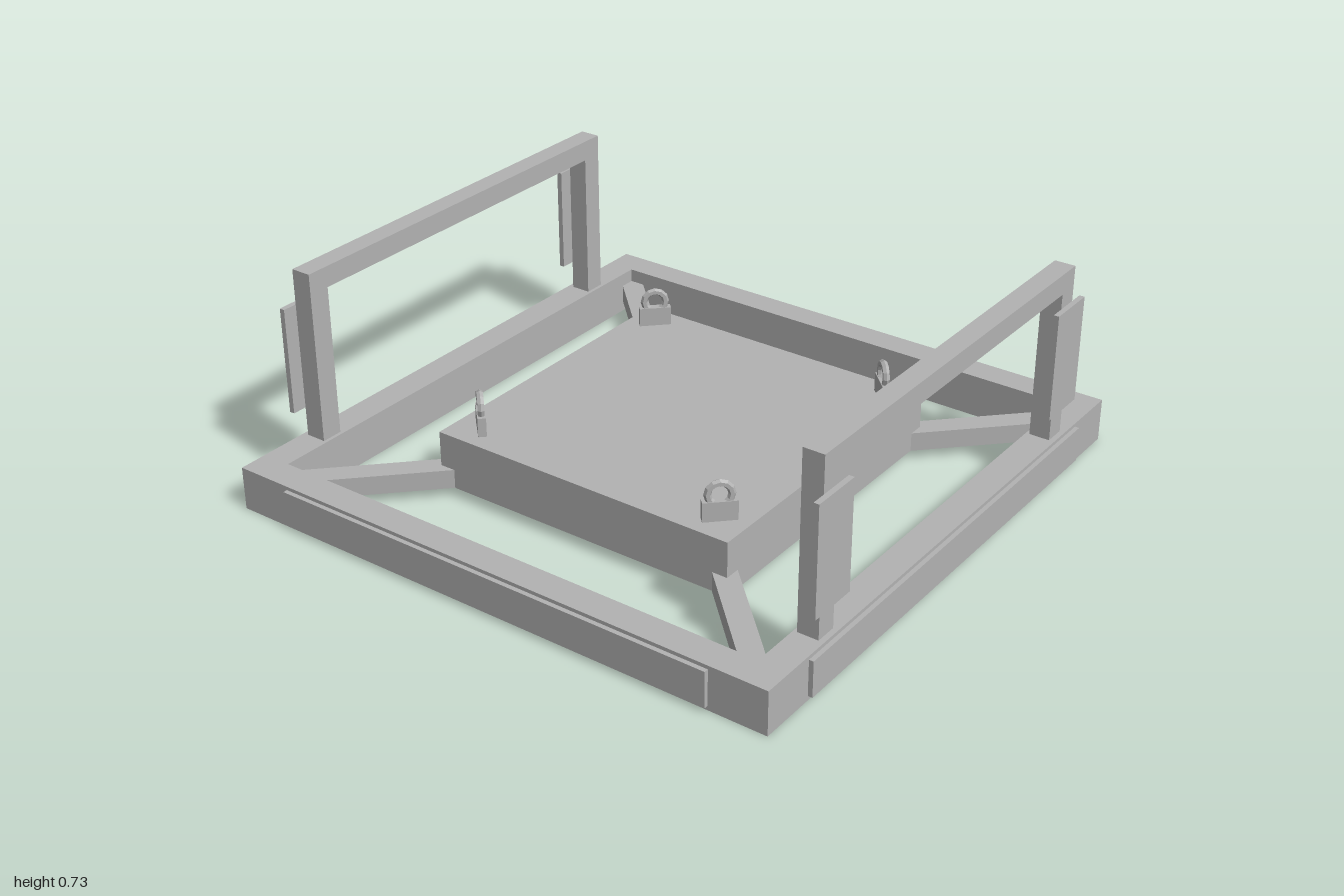
import * as THREE from 'three';

export function createModel() {
  const model = new THREE.Group();
  model.name = 'equipmentFrame';
  const grey = new THREE.MeshStandardMaterial({ color: 0xb2b2b2, flatShading: true });
  grey.name = 'grey';

  // box given by its lower and upper corners
  function box(name, x0, x1, y0, y1, z0, z1, parent = model) {
    const mesh = new THREE.Mesh(new THREE.BoxGeometry(x1 - x0, y1 - y0, z1 - z0), grey);
    mesh.position.set((x0 + x1) / 2, (y0 + y1) / 2, (z0 + z1) / 2);
    mesh.name = name;
    parent.add(mesh);
    return mesh;
  }

  // square base frame, one piece with an open middle
  const O = 0.985, I = 0.885;
  const outline = new THREE.Shape([[-O, -O], [O, -O], [O, O], [-O, O]].map(p => new THREE.Vector2(...p)));
  outline.holes.push(new THREE.Path([[-I, -I], [-I, I], [I, I], [I, -I]].map(p => new THREE.Vector2(...p))));
  const frameGeo = new THREE.ExtrudeGeometry(outline, { depth: 0.147, bevelEnabled: false });
  frameGeo.rotateX(-Math.PI / 2);
  const frame = new THREE.Mesh(frameGeo, grey);
  frame.name = 'baseFrame';
  model.add(frame);

  // raised centre platform
  box('platform', -0.55, 0.55, 0.035, 0.22, -0.55, 0.55);

  for (let i = 0; i < 4; i++) {
    // thin panel on each outer side
    const side = new THREE.Group();
    side.name = 'sidePanel';
    side.rotation.y = i * Math.PI / 2;
    box('panel', -0.79, 0.79, 0.015, 0.135, O - 0.01, 1, side);
    model.add(side);

    // diagonal strut and lifting lug at each corner, built along +z
    const corner = new THREE.Group();
    corner.name = 'corner';
    corner.rotation.y = Math.PI / 4 + i * Math.PI / 2;
    box('strut', -0.038, 0.038, 0.035, 0.1, 0.7, 1.265, corner);
    const r = 0.457 * Math.SQRT2;
    box('lugBase', -0.054, 0.054, 0.215, 0.285, r - 0.0135, r + 0.0135, corner);
    const ring = new THREE.Mesh(new THREE.TorusGeometry(0.037, 0.012, 6, 12), grey);
    ring.position.set(0, 0.306, r);
    ring.name = 'lugRing';
    corner.add(ring);
    model.add(corner);
  }

  // upright handle on the left and right sides, with a plate on each leg
  for (const s of [-1, 1]) {
    const handle = new THREE.Group();
    handle.name = s > 0 ? 'leftHandle' : 'rightHandle';
    handle.rotation.y = s > 0 ? 0 : Math.PI;
    box('topBar', 0.897, 0.967, 0.66, 0.73, -0.715, 0.715, handle);
    for (const e of [-1, 1]) {
      const c = e * 0.678;
      box('leg', 0.897, 0.967, 0.147, 0.66, c - 0.037, c + 0.037, handle);
      box('legPlate', 0.967, 0.985, 0.247, 0.61, c - 0.087, c + 0.087, handle);
    }
    model.add(handle);
  }
  return model;
}
